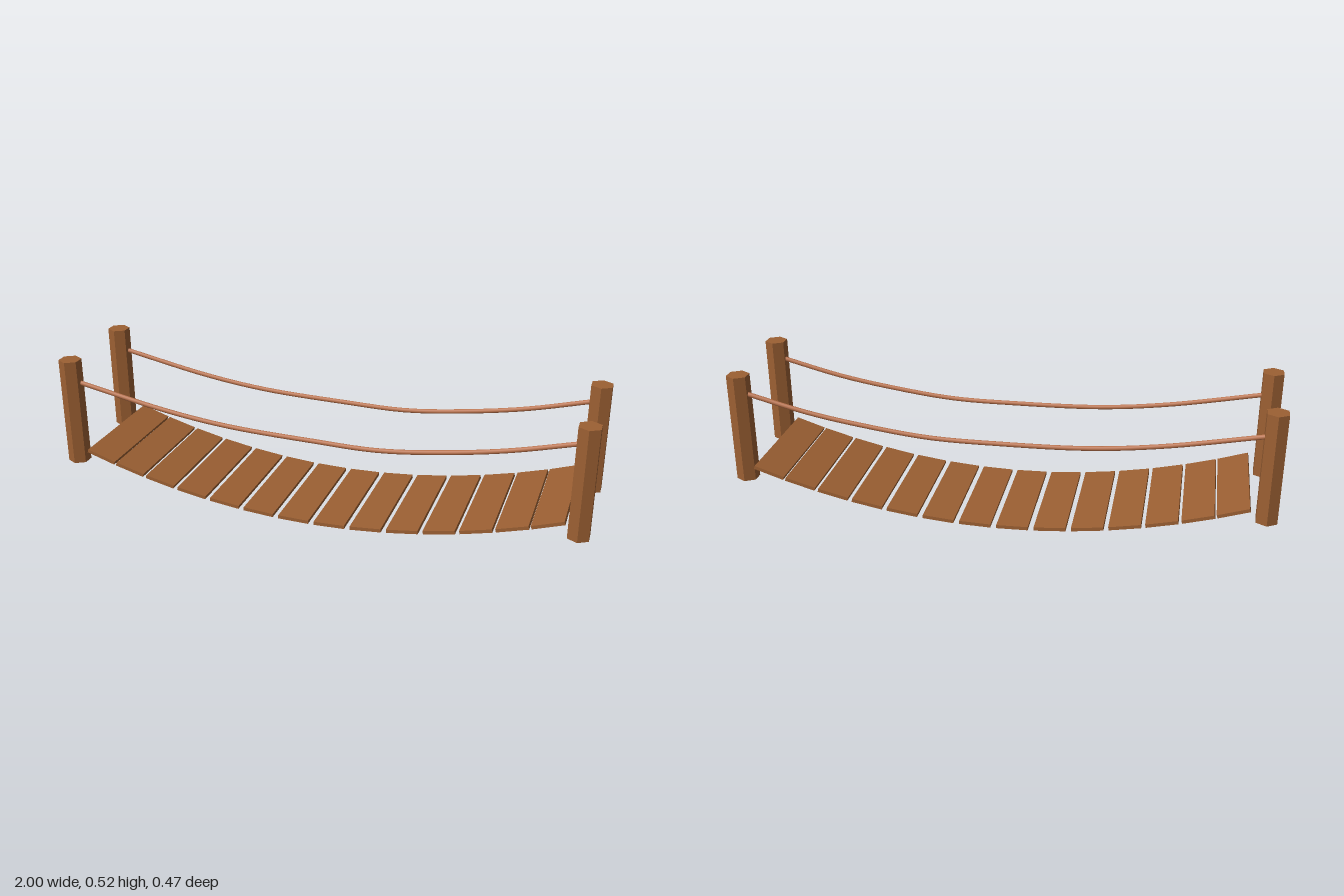
import * as THREE from 'three';

export function createModel() {
  const bridge = new THREE.Group();
  bridge.name = 'ropeBridge';
  const wood = new THREE.MeshStandardMaterial({ color: 0x9c6033, flatShading: true });
  const rope = new THREE.MeshStandardMaterial({ color: 0xb9714a });

  const add = (name, geometry, material, x = 0, y = 0, z = 0) => {
    const mesh = new THREE.Mesh(geometry, material);
    mesh.name = name;
    mesh.position.set(x, y, z);
    bridge.add(mesh);
    return mesh;
  };

  // Four hexagonal posts, corners pointing along z
  const postGeometry = new THREE.CylinderGeometry(0.0425, 0.0425, 0.415, 6);
  for (const [side, x] of [['left', 0.963], ['right', -0.963]]) {
    add(side + 'FrontPost', postGeometry, wood, x, 0.3095, 0.1925);
    add(side + 'BackPost', postGeometry, wood, x, 0.3095, -0.188);
  }

  // Fourteen planks laid along a sagging curve, tilted to its slope
  const sag = 0.19;
  const plankGeometry = new THREE.BoxGeometry(0.117, 0.013, 0.461);
  for (let i = 0; i < 14; i++) {
    const k = i - 6.5;
    const x = 0.007 + 0.139 * k - 0.00018 * k ** 3;
    const plank = add('plank' + (i + 1), plankGeometry, wood, x, 0.0065 + sag * x * x, -0.0025);
    plank.rotation.z = Math.atan(2 * sag * x);
  }

  // Slack hand ropes: x, height, sideways drift
  const ropePath = [
    [-0.94, 0.427, 0], [-0.58, 0.359, 0], [-0.33, 0.33, 0], [0, 0.32, 0.002],
    [0.25, 0.321, 0.006], [0.49, 0.349, 0.004], [0.7, 0.386, 0], [0.94, 0.447, -0.003],
  ];
  for (const [name, z] of [['frontRope', 0.188], ['backRope', -0.19]]) {
    const curve = new THREE.CatmullRomCurve3(
      ropePath.map(([x, y, drift]) => new THREE.Vector3(x, y, z + drift)));
    add(name, new THREE.TubeGeometry(curve, 40, 0.009, 8), rope);
  }

  return bridge;
}
